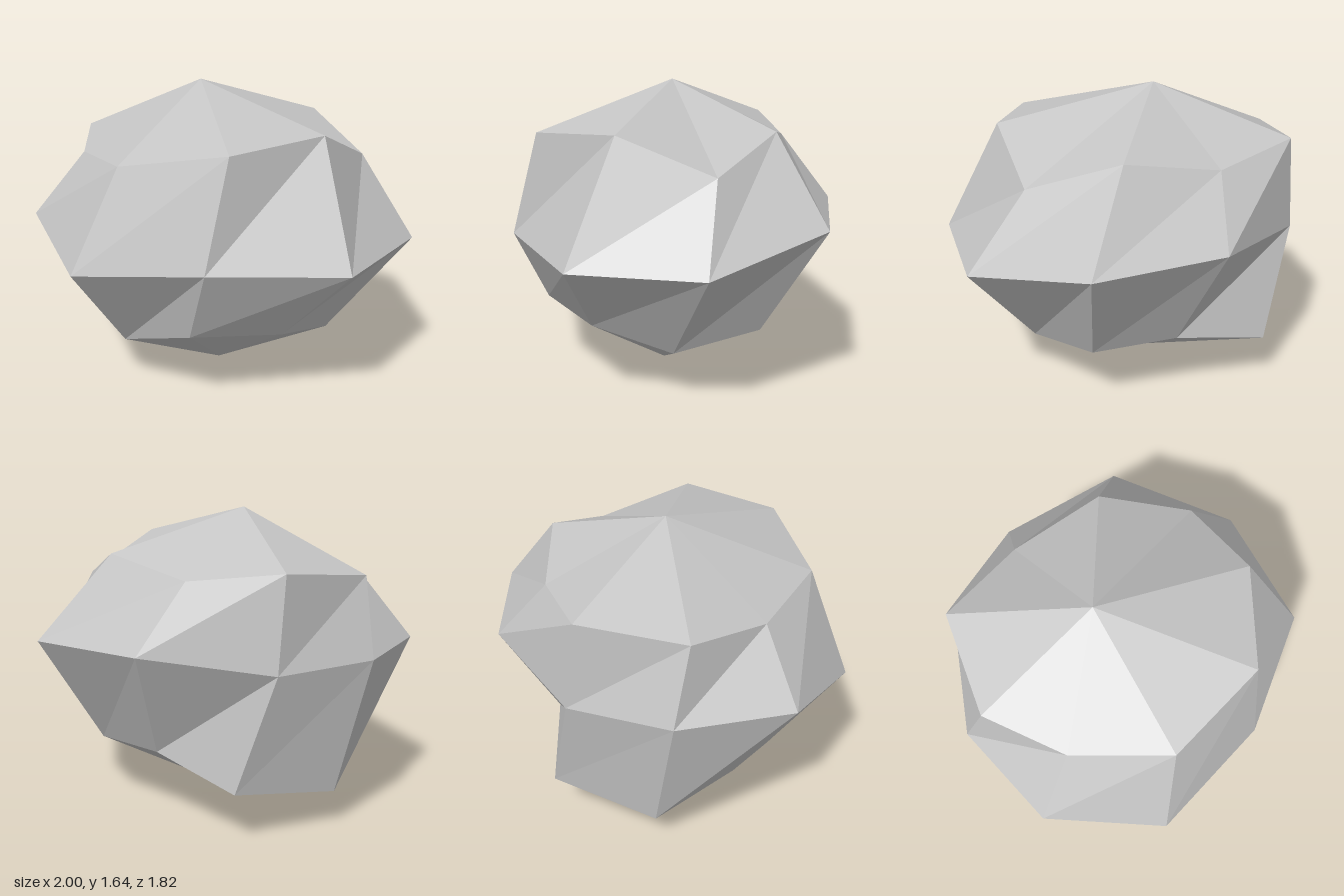
import * as THREE from 'three';

// Three uneven rings of nine points, each running from +x round through +z
const upperRing = [
  [0.69, 1.245, -0.20], [0.60, 1.445, 0.30], [0.243, 1.405, 0.715],
  [-0.337, 1.31, 0.735], [-0.725, 1.27, 0.36], [-0.91, 1.325, -0.07],
  [-0.70, 1.385, -0.585], [-0.19, 1.32, -0.65], [0.32, 1.412, -0.54],
];
const middleRing = [
  [1.00, 0.815, -0.135], [0.823, 0.81, 0.555], [0.17, 0.84, 0.865],
  [-0.537, 0.765, 0.905], [-1.00, 0.915, 0.45], [-1.00, 0.915, -0.17],
  [-0.69, 0.90, -0.64], [-0.06, 0.975, -0.91], [0.64, 0.955, -0.775],
];
const lowerRing = [
  [0.565, 0.28, 0.01], [0.435, 0.395, 0.44], [0.02, 0.425, 0.70],
  [-0.44, 0.265, 0.52], [-0.75, 0.38, 0.22], [-0.83, 0.20, -0.22],
  [-0.495, 0.285, -0.705], [0.02, 0.39, -0.60], [0.46, 0.365, -0.46],
];
const peak = [-0.19, 1.637, -0.02];
const base = [-0.07, 0, 0.035];

// Skin the rings with triangles and close both ends with fans
function rockGeometry() {
  const positions = [];
  const face = (...corners) => corners.forEach((p) => positions.push(...p));
  const count = upperRing.length;
  for (let i = 0; i < count; i++) {
    const j = (i + 1) % count;
    face(peak, upperRing[j], upperRing[i]);
    for (const [above, below] of [[upperRing, middleRing], [middleRing, lowerRing]]) {
      face(above[i], above[j], below[j]);
      face(above[i], below[j], below[i]);
    }
    face(base, lowerRing[i], lowerRing[j]);
  }
  const geometry = new THREE.BufferGeometry();
  geometry.setAttribute('position', new THREE.Float32BufferAttribute(positions, 3));
  geometry.computeVertexNormals(); // unshared corners give flat facets
  return geometry;
}

export function createModel() {
  const stone = new THREE.MeshStandardMaterial({ color: 0xc4c4c4, flatShading: true });
  stone.name = 'stone grey';

  const rock = new THREE.Mesh(rockGeometry(), stone);
  rock.name = 'rock';

  const model = new THREE.Group();
  model.name = 'boulder';
  model.add(rock);
  return model;
}
